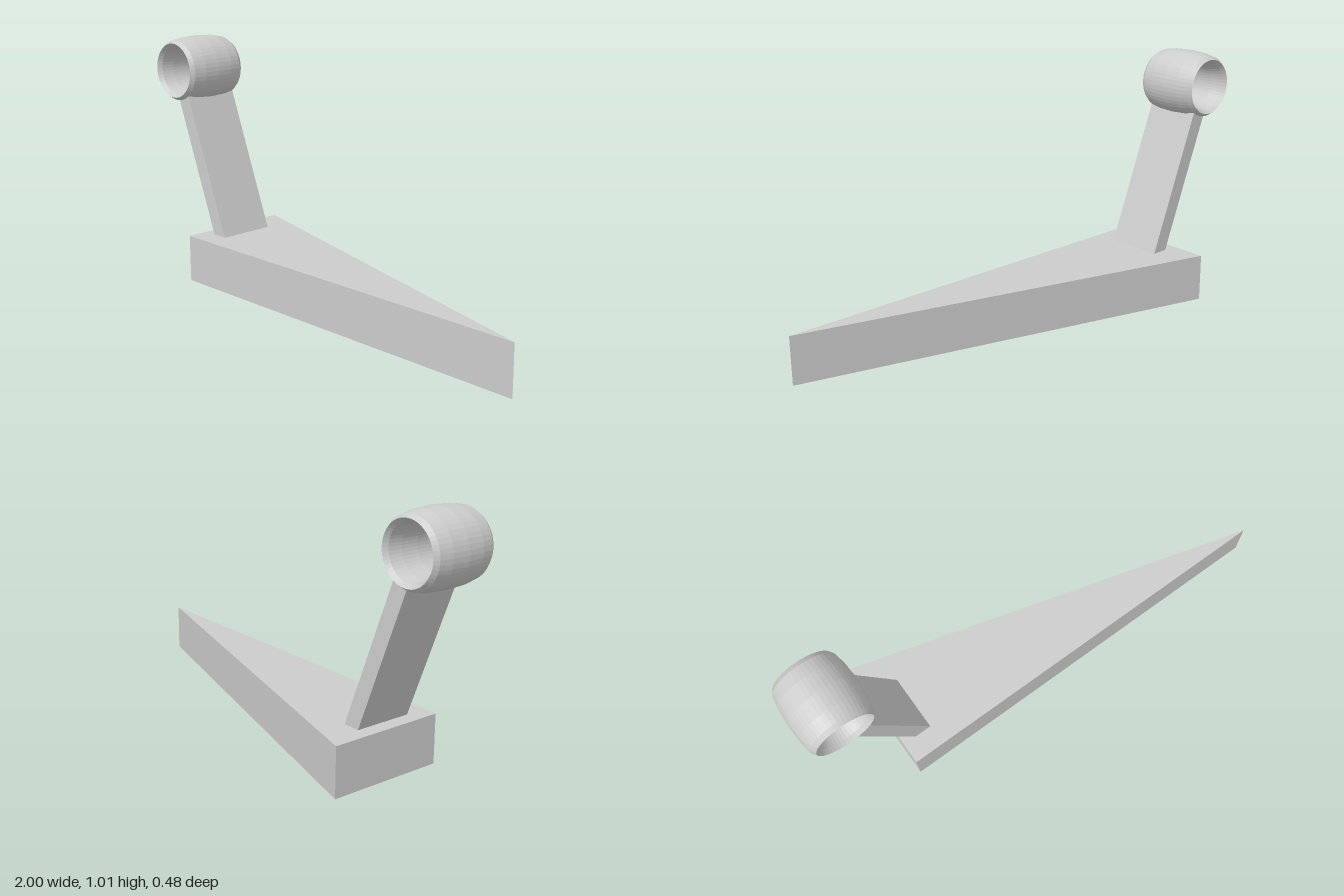
import * as THREE from 'three';

export function createModel() {
  const group = new THREE.Group();
  const material = new THREE.MeshStandardMaterial({ color: 0xcccccc, flatShading: true });
  const add = (name, geometry) => {
    const mesh = new THREE.Mesh(geometry, material);
    mesh.name = name;
    group.add(mesh);
    return mesh;
  };

  const baseHeight = 0.196;
  const ringCentre = new THREE.Vector3(-0.86, 0.875, 0.0315);
  const ringRadius = 0.115;

  // Wedge base: right triangle in plan, extruded upwards (shape y becomes -z)
  const plan = new THREE.Shape([
    new THREE.Vector2(-0.692, -0.238),
    new THREE.Vector2(1, -0.238),
    new THREE.Vector2(-0.692, 0.238),
  ]);
  const base = new THREE.ExtrudeGeometry(plan, { depth: baseHeight, bevelEnabled: false });
  base.rotateX(-Math.PI / 2);
  add('wedgeBase', base);

  // Leaning post: from just inside the base up to the middle of the ring wall
  const foot = new THREE.Vector3(-0.584, 0.155, ringCentre.z);
  const lean = foot.clone().sub(ringCentre).normalize();
  const top = ringCentre.clone().addScaledVector(lean, ringRadius - 0.003);
  const post = add('post', new THREE.BoxGeometry(0.065, top.distanceTo(foot), 0.238));
  post.position.copy(top).add(foot).multiplyScalar(0.5);
  post.rotation.z = Math.atan2(lean.x, -lean.y);

  // Barrel ring: a torus stretched along its axis
  const ring = new THREE.TorusGeometry(ringRadius, 0.025, 12, 48);
  ring.scale(1, 1, 5.48);
  ring.computeVertexNormals();
  add('barrelRing', ring).position.copy(ringCentre);

  return group;
}
